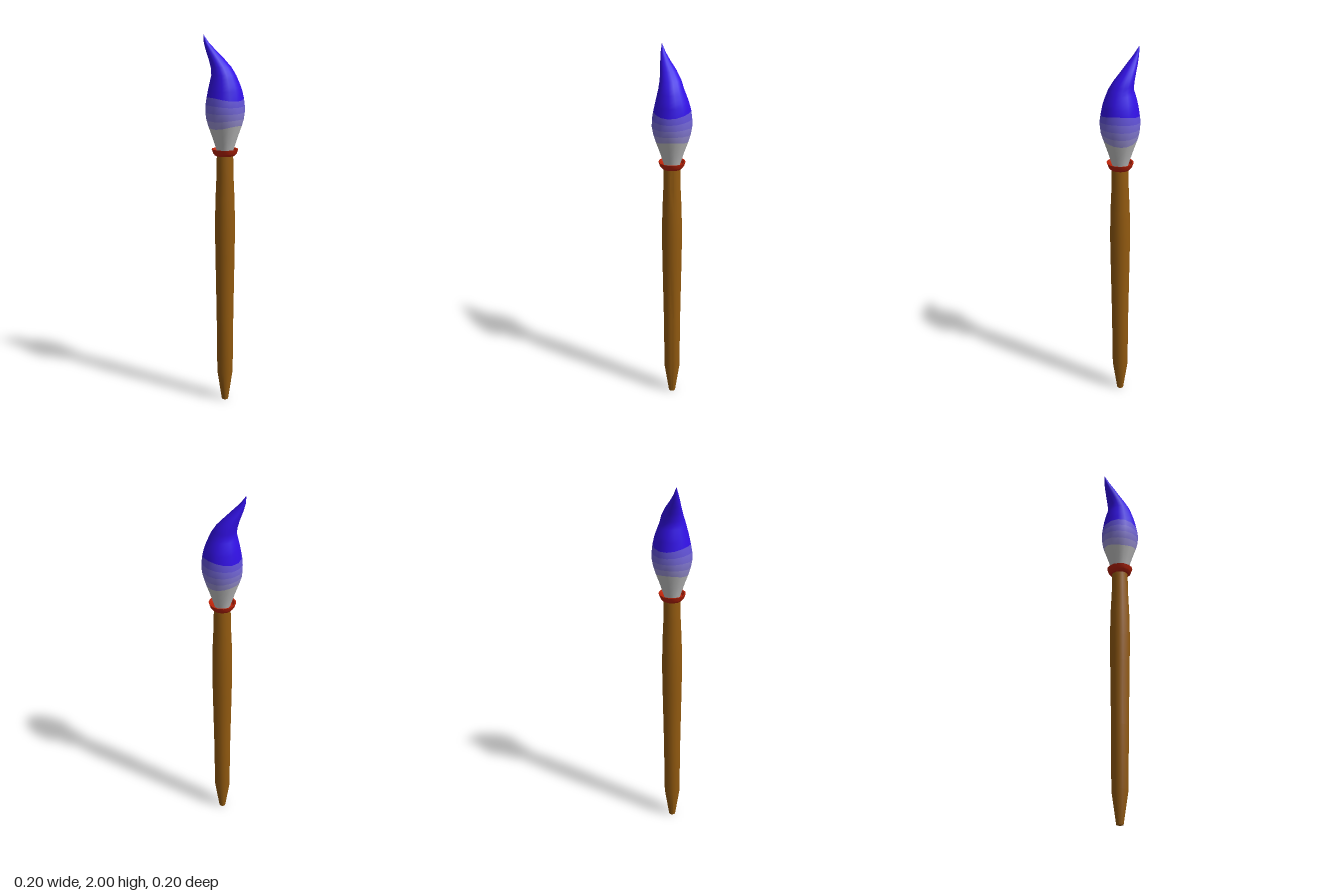
import * as THREE from 'three';
import { toCreasedNormals } from 'three/addons/utils/BufferGeometryUtils.js';

const SIDES = 15;

const paint = (name, color) => {
  const m = new THREE.MeshStandardMaterial({ color });
  m.name = name;
  return m;
};

// Turned part with one flat edge facing the front
function turned(name, profile, material) {
  const points = profile.map(([r, y]) => new THREE.Vector2(r, y));
  const geometry = toCreasedNormals(new THREE.LatheGeometry(points, SIDES, Math.PI), 0.5);
  const mesh = new THREE.Mesh(geometry, material);
  mesh.name = name;
  return mesh;
}

// Bristle cross-sections: height, centre x, centre z, radius x, radius z
const SECTIONS = [
  [1.40, 0, 0, 0.040, 0.040],
  [1.47, 0, 0, 0.062, 0.062],
  [1.53, 0, 0, 0.084, 0.084],
  [1.59, 0, 0, 0.102, 0.102],
  [1.64, 0, 0, 0.103, 0.103],
  [1.70, 0.002, 0, 0.094, 0.095],
  [1.75, 0, -0.002, 0.080, 0.082],
  [1.80, -0.004, -0.005, 0.064, 0.064],
  [1.84, -0.007, -0.020, 0.054, 0.053],
  [1.88, -0.017, -0.042, 0.042, 0.040],
  [1.92, -0.031, -0.065, 0.027, 0.028],
  [1.96, -0.043, -0.087, 0.013, 0.014],
  [2.00, -0.049, -0.102, 0.001, 0.001],
];

function sectionAt(y) {
  let i = 0;
  while (i < SECTIONS.length - 2 && y > SECTIONS[i + 1][0]) i++;
  const a = SECTIONS[i], b = SECTIONS[i + 1];
  const t = THREE.MathUtils.clamp((y - a[0]) / (b[0] - a[0]), 0, 1);
  return a.map((v, k) => THREE.MathUtils.lerp(v, b[k], t));
}

// Smooth skin whose colour bands meet along wavy rows
function bristles(materials) {
  const rows = []; // base height, wave strength, material of the strip above
  for (const y of [1.40, 1.44, 1.48]) rows.push([y, 0, 0]);
  for (let k = 0; k <= 4; k++) rows.push([1.537 + k * 0.036, 1, k + 1]);
  for (let y = 1.72; y < 2.001; y += 0.02) rows.push([y, 0, 5]);

  const positions = [], index = [];
  const geometry = new THREE.BufferGeometry();
  rows.forEach(([base, wave, material], r) => {
    const up = (base - 1.537) / 0.144;
    for (let s = 0; s < SIDES; s++) {
      const a = Math.PI + (s / SIDES) * Math.PI * 2;
      const ripple = (1 - up) * 0.009 * Math.cos(2 * a) - up * 0.009 * Math.cos(2 * a + 0.5);
      const y = base + wave * ripple;
      const [, cx, cz, rx, rz] = sectionAt(y);
      positions.push(cx + rx * Math.sin(a), y, cz + rz * Math.cos(a));
    }
    if (r === rows.length - 1) return;
    geometry.addGroup(index.length, SIDES * 6, material);
    for (let s = 0; s < SIDES; s++) {
      const p = r * SIDES + s, q = r * SIDES + (s + 1) % SIDES;
      index.push(p, q, q + SIDES, p, q + SIDES, p + SIDES);
    }
  });
  geometry.setAttribute('position', new THREE.Float32BufferAttribute(positions, 3));
  geometry.setIndex(index);
  geometry.computeVertexNormals();
  const mesh = new THREE.Mesh(geometry, materials);
  mesh.name = 'bristles';
  return mesh;
}

export function createModel() {
  const group = new THREE.Group();
  group.name = 'paintbrush';
  const wood = paint('wood', 0x925a10);
  const red = paint('red collar', 0xb82208);
  const hair = [
    paint('bare bristle', 0xc2c2c2),
    paint('palest violet', 0x9a92d6),
    paint('pale violet', 0x857bd6),
    paint('mid violet', 0x7468d8),
    paint('deep violet', 0x6253d8),
    paint('blue paint', 0x3411ee),
  ];

  // Wooden handle, pointed at the foot and slightly swollen above the middle
  group.add(turned('handle', [
    [0, 0], [0.018, 0], [0.043, 0.17], [0.046, 0.5], [0.052, 0.85],
    [0.054, 1.0], [0.051, 1.15], [0.045, 1.28], [0.043, 1.4], [0, 1.4],
  ], wood));

  // Flared collar with a shallow dish at the top
  group.add(turned('collar', [
    [0.04, 1.382], [0.052, 1.385], [0.062, 1.397], [0.07, 1.42],
    [0.063, 1.419], [0.052, 1.404], [0.036, 1.402],
  ], red));

  group.add(bristles(hair));
  return group;
}
